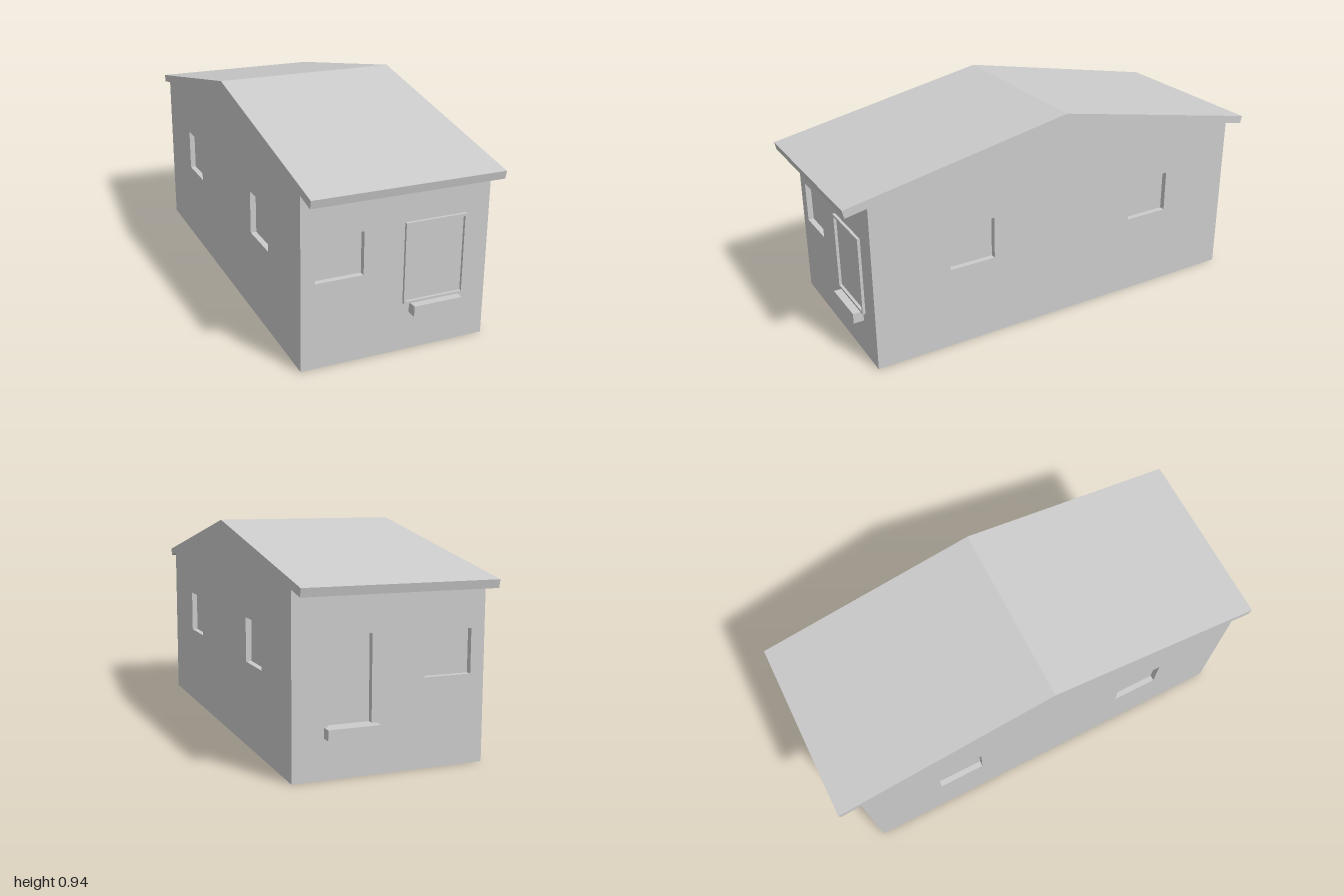
import * as THREE from 'three';

const HALF_W = 0.404, HALF_L = 0.9, RECESS = 0.025;
const grey = new THREE.MeshStandardMaterial({ color: 0xcccccc, side: THREE.DoubleSide });

function add(parent, name, geometry) {
  const mesh = new THREE.Mesh(geometry, grey);
  mesh.name = name;
  parent.add(mesh);
  return mesh;
}

function polygon(points) {
  return new THREE.Shape(points.map(([x, y]) => new THREE.Vector2(x, y)));
}

function rect([x0, x1, y0, y1]) {
  return polygon([[x0, y0], [x1, y0], [x1, y1], [x0, y1]]);
}

// Shallow box that is open towards +z, its rim on z = 0
function recessGeometry([x0, x1, y0, y1]) {
  const g = new THREE.BoxGeometry(x1 - x0, y1 - y0, RECESS);
  const index = Array.from(g.index.array);
  index.splice(24, 6);
  g.setIndex(index);
  g.clearGroups();
  return g.translate((x0 + x1) / 2, (y0 + y1) / 2, -RECESS / 2);
}

// Thin wall facing local +z, with recessed openings { name: [x0, x1, y0, y1] }
function wall(name, outline, openings) {
  const group = new THREE.Group();
  group.name = name;
  const shape = polygon(outline);
  for (const [part, r] of Object.entries(openings)) {
    shape.holes.push(rect(r));
    add(group, part, recessGeometry(r));
  }
  add(group, name + 'Panel', new THREE.ShapeGeometry(shape));
  return group;
}

// Box given by its limits
function block(parent, name, x0, x1, y0, y1, z0, z1) {
  const g = new THREE.BoxGeometry(x1 - x0, y1 - y0, z1 - z0);
  return add(parent, name, g.translate((x0 + x1) / 2, (y0 + y1) / 2, (z0 + z1) / 2));
}

export function createModel() {
  const house = new THREE.Group();
  house.name = 'house';

  // End walls, under the eaves
  const endOutline = [[-HALF_W, 0], [HALF_W, 0], [HALF_W, 0.75], [-HALF_W, 0.75]];
  const front = wall('frontWall', endOutline, { frontWindow: [-0.345, -0.143, 0.363, 0.545] });
  front.position.z = HALF_L;
  const back = wall('backWall', endOutline, {
    backWindow: [0.143, 0.345, 0.363, 0.545],
    backDoor: [-0.26, -0.08, 0.205, 0.55],
  });
  back.position.z = -HALF_L;
  back.rotation.y = Math.PI;
  house.add(front, back);

  // Gabled side walls, two windows each
  const gable = [[-HALF_L, 0], [HALF_L, 0], [HALF_L, 0.75], [0, 0.925], [-HALF_L, 0.75]];
  for (const side of [1, -1]) {
    const w = wall(side > 0 ? 'leftWall' : 'rightWall', gable, {
      sideWindowA: [-0.558, -0.35, 0.363, 0.55],
      sideWindowB: [0.35, 0.558, 0.363, 0.55],
    });
    w.position.x = side * HALF_W;
    w.rotation.y = side * Math.PI / 2;
    house.add(w);
  }

  // Roof slab folded at the ridge, eave ends square to the slope
  const roofShape = polygon([
    [-1, 0.743], [-0.993, 0.709], [0, 0.904], [0.993, 0.709], [1, 0.743], [0, 0.94],
  ]);
  const roof = new THREE.ExtrudeGeometry(roofShape, { depth: 0.81, bevelEnabled: false });
  add(house, 'roof', roof.translate(0, 0, -0.405).rotateY(Math.PI / 2));

  // Raised frame of the large front window
  const frameShape = rect([0.03, 0.3, 0.208, 0.553]);
  frameShape.holes.push(rect([0.04, 0.29, 0.218, 0.543]));
  const frame = new THREE.ExtrudeGeometry(frameShape, { depth: 0.012, bevelEnabled: false });
  add(house, 'largeWindowFrame', frame.translate(0, 0, HALF_L));

  // Planter below the large window and step below the back door
  block(house, 'frontPlanter', 0.06, 0.275, 0.163, 0.208, HALF_L, 0.945);
  block(house, 'backStep', 0.06, 0.275, 0.163, 0.205, -0.942, -HALF_L);

  return house;
}
